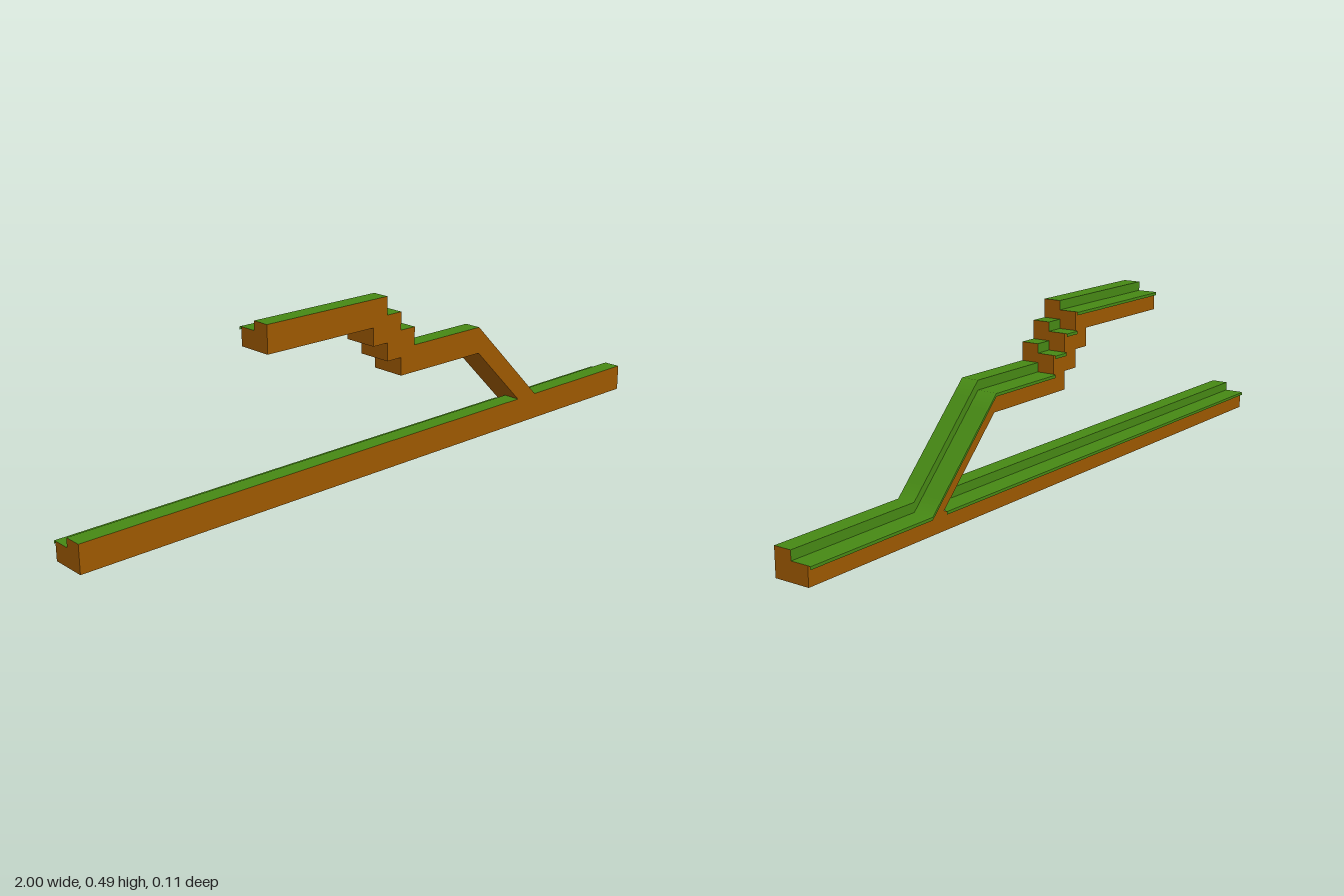
import * as THREE from 'three';

const U = 0.0257;         // every height is a multiple of this unit
const FRONT = 0.055, MID = FRONT - 2 * U, BACK = MID - 2 * U, LIP = -0.055;

// cross-sections as [z, y], running front to back over the top, then round underneath
const grassSection = [
  [FRONT, 3 * U], [MID, 3 * U], [MID, 2 * U], [-0.051, 2 * U],
  [LIP, 2 * U - 0.001], [LIP, 2 * U - 0.009], // turned-down rear lip
];
const earthSection = [[BACK, 2 * U], [BACK, 0], [FRONT, 0], [FRONT, 3 * U]];
// end cap rectangles as [zMin, zMax, height]
const caps = [[BACK, MID, 2 * U], [MID, FRONT, 3 * U]];

// sweep an open section along a path of [x, y]; smooth along the path, sharp across it
function sweep(section, path, capped) {
  const pos = [], index = [];
  const quad = (a, b, c, d) => index.push(a, b, c, a, c, d);
  for (let i = 1; i < section.length; i++) {
    const start = pos.length / 3;
    for (const [x, y] of path) {
      for (const [z, h] of [section[i - 1], section[i]]) pos.push(x, y + h, z);
    }
    for (let j = 0; j < path.length - 1; j++) {
      const k = start + 2 * j;
      quad(k, k + 2, k + 3, k + 1);
    }
  }
  if (capped) {
    [path[0], path[path.length - 1]].forEach(([x, y], end) => {
      for (const [z0, z1, h] of caps) {
        const k = pos.length / 3;
        pos.push(x, y, z0, x, y + h, z0, x, y + h, z1, x, y, z1);
        if (end) quad(k, k + 1, k + 2, k + 3);
        else quad(k + 3, k + 2, k + 1, k);
      }
    });
  }
  const geo = new THREE.BufferGeometry();
  geo.setAttribute('position', new THREE.Float32BufferAttribute(pos, 3));
  geo.setIndex(index);
  geo.computeVertexNormals();
  return geo;
}

export function createModel() {
  const model = new THREE.Group();
  model.name = 'steppedPlatforms';
  const earth = new THREE.MeshStandardMaterial({ color: 0x9c5800 });
  earth.name = 'earth brown';
  const grass = new THREE.MeshStandardMaterial({ color: 0x468814, side: THREE.DoubleSide });
  grass.name = 'grass green';

  const rampTop = 0.333, rampEnd = 0.588;
  const rampPoint = (t) => [rampTop + t * (rampEnd - rampTop), 10 * U * (1 - t)];
  const rampPath = [0, 0.14, 0.86, 1].map(rampPoint);
  const stair = (n) => -0.08 + 2 * U * n; // stair edges, evenly spaced in x

  const add = (name, section, path, material, capped) => {
    const mesh = new THREE.Mesh(sweep(section, path, capped), material);
    mesh.name = name;
    model.add(mesh);
  };

  // earth bodies: name, start x, end x, base height in units
  for (const [name, x0, x1, level] of [
    ['ground', -1, 1, 0],
    ['lowerPlatform', stair(2), rampTop, 10],
    ['lowerStep', stair(1), stair(3), 12],
    ['upperStep', stair(0), stair(2), 14],
    ['upperPlatform', -0.437, stair(1), 16],
  ]) {
    add(name + 'Earth', earthSection, [[x0, level * U], [x1, level * U]], earth, true);
  }
  // the ramp's ends are buried in its neighbours
  add('rampEarth', earthSection, [rampPoint(0), rampPoint(1)], earth, false);

  // grass on the exposed tops
  for (const [name, x0, x1, level] of [
    ['ground', -1, 0.535, 0],
    ['lowerStep', stair(2), stair(3), 12],
    ['upperStep', stair(1), stair(2), 14],
    ['upperPlatform', -0.437, stair(1), 16],
  ]) {
    add(name + 'Grass', grassSection, [[x0, level * U], [x1, level * U]], grass, false);
  }
  // one strip from the lower platform down the ramp to the end of the ground
  add('rampGrass', grassSection, [[stair(3), 10 * U], ...rampPath, [1, 0]], grass, false);
  return model;
}
